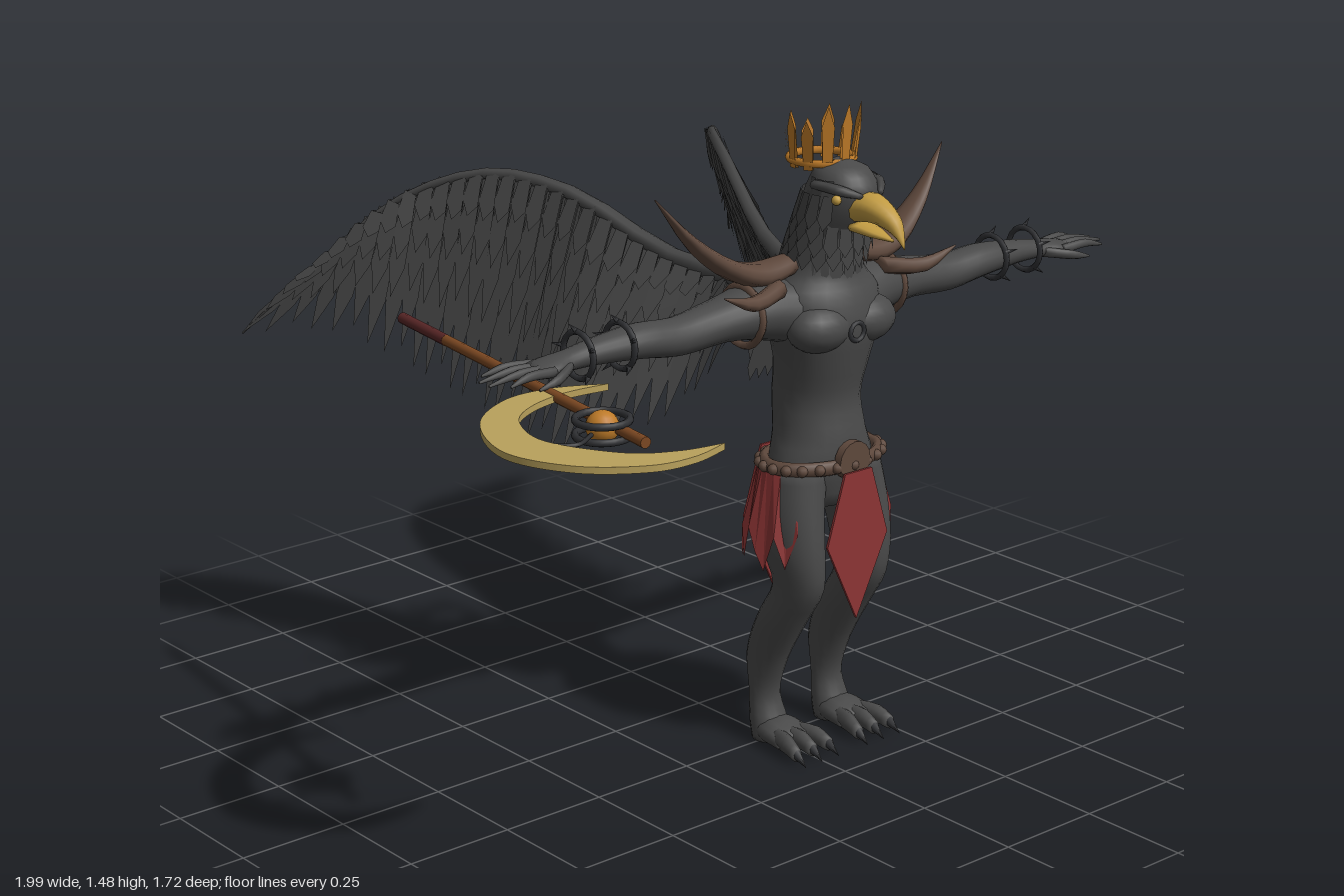
import * as THREE from 'three';

const V = (x, y, z) => new THREE.Vector3(x, y, z);
const X = V(1, 0, 0), Y = V(0, 1, 0), Z = V(0, 0, 1);
const mat = (name, color) => {
  const m = new THREE.MeshStandardMaterial({ color, side: THREE.DoubleSide });
  m.name = name;
  return m;
};
const M = {
  skin: mat('charcoal skin', 0x494949), plume: mat('dark plumage', 0x434343),
  horn: mat('horn brown', 0x5e483c), cloth: mat('red cloth', 0x8c3434),
  beak: mat('beak gold', 0xc09a42), crown: mat('crown amber', 0xbd7a28),
  blade: mat('pale brass', 0xb9a15c), wood: mat('staff wood', 0x7c4822),
  grip: mat('staff grip', 0x582626), iron: mat('dark iron', 0x2f3033),
};

function add(parent, name, geo, material, pos) {
  const m = new THREE.Mesh(geo, material);
  m.name = name;
  if (pos) m.position.set(...pos);
  parent.add(m);
  return m;
}

// Smooth skin over elliptical sections [x, y, z, radiusU, radiusW]
function loft(sections, U, W, sides = 18, sub = 3) {
  const path = new THREE.CatmullRomCurve3(sections.map(s => V(s[0], s[1], s[2])));
  const radii = new THREE.CatmullRomCurve3(sections.map(s => V(s[3], s[4], 0)));
  const n = (sections.length - 1) * sub, pos = [], idx = [];
  const dir = path.getPoint(1).sub(path.getPoint(0));
  const flip = U.clone().cross(W).dot(dir) < 0 ? -1 : 1;
  for (let i = 0; i <= n; i++) {
    const c = path.getPoint(i / n), r = radii.getPoint(i / n);
    for (let j = 0; j < sides; j++) {
      const a = j / sides * Math.PI * 2;
      pos.push(...c.clone().addScaledVector(U, r.x * Math.cos(a)).addScaledVector(W, flip * r.y * Math.sin(a)).toArray());
      const k = i * sides + j, l = i * sides + (j + 1) % sides;
      if (i < n) idx.push(k, l, k + sides, l, l + sides, k + sides);
    }
  }
  for (let j = 1; j < sides - 1; j++) {
    const e = n * sides;
    idx.push(0, j + 1, j, e, e + j, e + j + 1);
  }
  const g = new THREE.BufferGeometry();
  g.setAttribute('position', new THREE.Float32BufferAttribute(pos, 3));
  g.setIndex(idx);
  g.computeVertexNormals();
  return g;
}

// Pointed feather from p to q with half width vector w
function feather(out, p, q, w) {
  const m = p.clone().lerp(q, 0.68);
  const a = p.clone().addScaledVector(w, -0.7), b = p.clone().addScaledVector(w, 0.7);
  const c = m.clone().sub(w), d = m.clone().add(w);
  for (const v of [a, b, d, a, d, c, c, d, q]) out.push(v.x, v.y, v.z);
}
function triangles(out) {
  const g = new THREE.BufferGeometry();
  g.setAttribute('position', new THREE.Float32BufferAttribute(out, 3));
  g.computeVertexNormals();
  return g;
}
function rod(parent, name, a, b, r0, r1, material, sides = 10) {
  const d = b.clone().sub(a);
  const m = add(parent, name, new THREE.CylinderGeometry(r1, r0, d.length(), sides), material);
  m.position.copy(a).addScaledVector(d, 0.5);
  m.quaternion.setFromUnitVectors(Y, d.normalize());
}
const curve = pts => new THREE.CatmullRomCurve3(pts.map(p => V(...p)));

function wing(body, s) {
  const lead = curve([[.05, 1.05, .2], [.1, 1.07, .05], [.16, 1.1, -.09], [.22, 1.19, -.25], [.3, 1.23, -.4],
    [.4, 1.21, -.53], [.53, 1.13, -.63], [.64, .99, -.74], [.75, .84, -.86]].map(p => [s * p[0], p[1], p[2]]));
  const trail = curve([[.17, .95, .2], [.25, .79, .12], [.36, .71, 0], [.44, .67, -.12], [.45, .71, -.27],
    [.48, .75, -.4], [.53, .8, -.53], [.62, .86, -.67], [.75, .84, -.86]].map(p => [s * p[0], p[1], p[2]]));
  const out = [];
  const rows = [[1, 0, 34], [.66, .008, 30], [.66, -.008, 30], [.42, .014, 30], [.42, -.014, 30], [.22, .02, 30], [.22, -.02, 30]];
  for (const [len, off, n] of rows) for (let i = 0; i < n; i++) {
    const u = i / (n - 1), p = lead.getPoint(u * .86), q = trail.getPoint(u);
    const along = trail.getPoint(Math.min(1, u + .02)).sub(trail.getPoint(Math.max(0, u - .02))).normalize();
    const down = q.clone().sub(p), nrm = along.clone().cross(down).normalize();
    const tip = p.clone().addScaledVector(down, len * (i % 3 === 1 ? .92 : 1));
    p.addScaledVector(nrm, off * .5);
    tip.addScaledVector(nrm, off + (i % 2) * .003);
    feather(out, p, tip, along.multiplyScalar(.027 - .008 * u));
  }
  add(body, 'wingFeathers', triangles(out), M.plume);
  add(body, 'wingLeadingEdge', loft([0, .2, .4, .55, .7, .85, 1].map((u, i) => {
    const r = .024 - .0035 * i;
    return [...lead.getPoint(u).toArray(), r, r];
  }), X, Y, 8), M.plume);
}

function arm(body, s) {
  add(body, 'arm', loft([[.08, 1.02, .3, .08, .075], [.17, 1.035, .285, .075, .065], [.28, 1.03, .28, .058, .047],
    [.4, 1.02, .285, .046, .042], [.5, 1.03, .285, .048, .038], [.62, 1.03, .285, .034, .028],
    [.69, 1.025, .285, .03, .022], [.74, 1.02, .285, .042, .02], [.78, 1.02, .285, .036, .012]]
    .map(p => [s * p[0], ...p.slice(1)]), Z, Y), M.skin);
  for (let i = 0; i < 4; i++) {
    const z = .25 + i * .024, e = .235 + i * .033, l = i % 3 ? .9 : .87;
    add(body, 'finger', loft([[s * .75, 1.02, z, .012, .012], [s * .82, 1.025, (z + e) / 2, .011, .01],
      [s * l, 1.015, e, .003, .003]], Z, Y, 8), M.skin);
  }
  add(body, 'thumb', loft([[s * .7, 1.02, .31, .012, .012], [s * .76, 1.01, .345, .011, .011], [s * .81, 1.0, .35, .003, .003]], Z, Y, 8), M.skin);
  // spiked bracelets
  for (const x of [.55, .66]) {
    add(body, 'bracelet', new THREE.TorusGeometry(.05, .007, 6, 20), M.iron, [s * x, 1.03, .285]).rotation.y = Math.PI / 2;
    for (let k = 0; k < 5; k++) {
      const a = k / 5 * Math.PI * 2 + .4, c = Math.cos(a), d = Math.sin(a);
      rod(body, 'braceletSpike', V(s * x, 1.03 + .05 * d, .285 + .05 * c), V(s * (x + .02), 1.03 + .07 * d, .285 + .07 * c), .007, 0, M.iron, 5);
    }
  }
  // shoulder armour
  add(body, 'shoulderHorn', loft([[.09, 1.125, .29, .04, .022], [.17, 1.115, .285, .05, .026], [.24, 1.135, .28, .045, .025],
    [.33, 1.2, .265, .027, .02], [.42, 1.31, .245, .002, .002]].map(p => [s * p[0], ...p.slice(1)]), Z, Y, 10), M.horn);
  add(body, 'smallHorn', loft([[s * .15, 1.09, .335, .025, .02], [s * .25, 1.08, .365, .02, .017], [s * .34, 1.11, .375, .002, .002]], Z, Y, 8), M.horn);
  add(body, 'shoulderRing', new THREE.TorusGeometry(.066, .009, 6, 20), M.horn, [s * .21, 1.03, .283]).rotation.y = Math.PI / 2;
  add(body, 'chestMuscle', new THREE.SphereGeometry(1, 18, 12), M.skin, [s * .066, .995, .37]).scale.set(.08, .055, .06);
}

function leg(body, s) {
  const x = s * .095;
  add(body, 'leg', loft([[x * .8, .68, .305, .07, .085], [x, .58, .315, .066, .088], [x * 1.05, .48, .335, .06, .08],
    [x, .4, .345, .05, .066], [x, .32, .3, .05, .065], [x, .25, .262, .042, .062], [x, .19, .24, .036, .055],
    [x, .11, .236, .035, .036], [x, .05, .25, .045, .042], [x, .01, .26, .045, .045]], X, Z), M.skin);
  add(body, 'foot', loft([[x, .03, .22, .03, .02], [x, .035, .29, .055, .032], [x, .025, .35, .055, .022]], X, Y, 12), M.skin);
  for (const t of [-1, 0, 1]) {
    add(body, 'toe', loft([[x + t * .025, .03, .3, .02, .024], [x + t * .042, .034, .36, .018, .022],
      [x + t * .048, .022, .4, .014, .016]], X, Y, 8), M.skin);
    rod(body, 'talon', V(x + t * .048, .025, .395), V(x + t * .05, .003, .432), .012, 0, M.iron, 6);
  }
  rod(body, 'rearTalon', V(x, .04, .22), V(x, .004, .19), .014, 0, M.iron, 6);
}

function headAndNeck(body) {
  // shaggy collar laid over neck and head
  const out = [];
  for (let r = 0; r < 8; r++) for (let k = 0; k < 18; k++) {
    const a = (k + (r % 2) / 2) / 18 * Math.PI * 2, y = 1.1 + r * .032;
    const zc = .3 + Math.max(0, y - 1.15) * .42, rad = r > 6 ? .07 : .084;
    const c = Math.sin(a), d = Math.cos(a);
    if (d > .6 && r > 4) continue;
    feather(out, V(rad * c, y, zc + rad * d), V((rad + .016) * c, y - .075, zc - .01 + (rad + .014) * d), V(d, 0, -c).multiplyScalar(.016));
  }
  for (let r = 0; r < 4; r++) for (let k = -4; k <= 4; k++)
    feather(out, V(k * .024, 1.1 - r * .05, .215), V(k * .026, .99 - r * .05, .188), V(.016, 0, 0));
  add(body, 'neckFeathers', triangles(out), M.plume);
  add(body, 'upperBeak', loft([[0, 1.262, .42, .042, .034], [0, 1.268, .46, .038, .032], [0, 1.258, .505, .028, .026],
    [0, 1.236, .54, .016, .02], [0, 1.2, .56, .002, .006]], X, Y, 12), M.beak);
  add(body, 'lowerBeak', loft([[0, 1.222, .42, .033, .014], [0, 1.215, .47, .024, .011], [0, 1.207, .525, .003, .003]], X, Y, 10), M.beak);
  for (const s of [-1, 1]) {
    add(body, 'eye', new THREE.SphereGeometry(.011, 10, 8), M.beak, [s * .062, 1.285, .415]);
    add(body, 'brow', loft([[s * .075, 1.312, .36, .014, .01], [s * .06, 1.307, .42, .014, .012], [s * .03, 1.295, .455, .008, .006]], X, Y, 8), M.plume);
  }
  // crown of flat leaf spikes
  add(body, 'crownBand', new THREE.TorusGeometry(.07, .009, 6, 24), M.crown, [0, 1.35, .3]).rotation.x = Math.PI / 2;
  const leaves = [];
  for (let k = 0; k < 11; k++) {
    const a = k / 11 * Math.PI * 2, c = Math.sin(a), d = Math.cos(a), h = .085 + .035 * (d + 1) / 2 + (k % 2 ? 0 : .025);
    for (const off of [-.004, .004])
      feather(leaves, V((.07 + off) * c, 1.335, .3 + (.07 + off) * d), V(.088 * c, 1.335 + h, .305 + .08 * d), V(d, 0, -c).multiplyScalar(.014));
  }
  add(body, 'crownSpikes', triangles(leaves), M.crown);
}

function skirt(body) {
  add(body, 'belt', new THREE.TorusGeometry(1, .1, 8, 32), M.horn, [0, .68, .31]).rotation.x = Math.PI / 2;
  body.children.at(-1).scale.set(.145, .098, .17);
  for (let k = 0; k < 22; k++) {
    const a = k / 22 * Math.PI * 2;
    add(body, 'beltBead', new THREE.SphereGeometry(.013, 8, 6), M.horn, [.157 * Math.sin(a), .68, .31 + .105 * Math.cos(a)]);
  }
  add(body, 'buckle', new THREE.CylinderGeometry(.045, .045, .02, 16), M.horn, [0, .69, .412]).rotation.x = Math.PI / 2;
  // ragged strips around the sides and back, open at the front
  const out = [], n = 26, a0 = .85, da = (Math.PI * 2 - 2 * a0) / n;
  const at = (a, t, y) => V((.152 + .035 * t) * Math.sin(a), y, .3 + (.1 + .038 * t) * Math.cos(a));
  for (let i = 0; i < n; i++) {
    const a = a0 + i * da, b = a + da, low = j => [.46, .54, .49, .45, .53][j % 5];
    const p = [at(a, 0, .675), at(b, 0, .675), at(b, 1, low(i + 1)), at(a, 1, low(i))];
    for (const j of [0, 3, 2, 0, 2, 1]) out.push(...p[j].toArray());
  }
  add(body, 'skirt', triangles(out), M.cloth);
  const panel = new THREE.Shape([[-.04, .67], [-.09, .51], [0, .325], [.09, .51], [.04, .67]].map(p => new THREE.Vector2(...p)));
  for (const z of [.427, .152])
    add(body, z > .3 ? 'frontPanel' : 'backPanel', new THREE.ExtrudeGeometry(panel, { depth: .006, bevelEnabled: false }), M.cloth, [0, 0, z]);
}

function sickleStaff(root) {
  const g = new THREE.Group();
  g.name = 'sickleStaff';
  root.add(g);
  const y = .99, a = V(-.605, y, -.29), b = V(-.75, y, .72), m = a.clone().lerp(b, .2);
  rod(g, 'staffGrip', a, m, .0125, .0125, M.grip);
  rod(g, 'staffPole', m, b, .012, .012, M.wood);
  const v2 = pts => pts.map(p => new THREE.Vector2(...p));
  const s = new THREE.Shape();
  s.moveTo(-.575, .39);
  s.splineThru(v2([[-.68, .34], [-.8, .34], [-.93, .43], [-1, .6], [-.95, .75], [-.84, .84], [-.74, .855], [-.645, .83]]));
  s.splineThru(v2([[-.74, .81], [-.83, .75], [-.9, .6], [-.87, .48], [-.8, .415], [-.69, .382], [-.575, .39]]));
  add(g, 'crescentBlade', new THREE.ExtrudeGeometry(s, { depth: .014, bevelEnabled: false, curveSegments: 40 }).rotateX(Math.PI / 2), M.blade, [0, .995, 0]);
  add(g, 'amberOrb', new THREE.SphereGeometry(.034, 16, 12), M.crown, [-.752, y, .59]);
  for (const h of [-.016, .016])
    add(g, 'orbRing', new THREE.TorusGeometry(.054, .008, 8, 24), M.iron, [-.752, y + h, .59]).rotation.x = Math.PI / 2;
  add(g, 'bladeStrut', new THREE.TubeGeometry(curve([[-.92, y, .6], [-.86, y, .645], [-.8, y, .615]]), 10, .005, 6), M.iron);
}

export function createModel() {
  const root = new THREE.Group(), body = new THREE.Group();
  root.name = 'birdWarrior';
  body.name = 'body';
  body.position.x = .09;
  root.add(body);
  add(body, 'torsoAndHead', loft([[0, .58, .3, .09, .08], [0, .67, .308, .13, .095], [0, .74, .303, .108, .098],
    [0, .82, .292, .1, .097], [0, .91, .308, .113, .1], [0, 1, .313, .138, .11], [0, 1.06, .31, .135, .1],
    [0, 1.11, .303, .098, .088], [0, 1.18, .315, .082, .084], [0, 1.25, .35, .078, .09], [0, 1.3, .367, .074, .083],
    [0, 1.34, .365, .055, .06], [0, 1.36, .36, .01, .01]], X, Z, 24), M.skin);
  add(body, 'chestMark', new THREE.TorusGeometry(.02, .006, 6, 14), M.iron, [0, .985, .42]);
  headAndNeck(body);
  skirt(body);
  for (const s of [-1, 1]) {
    arm(body, s);
    leg(body, s);
    wing(body, s);
  }
  sickleStaff(root);
  return root;
}
